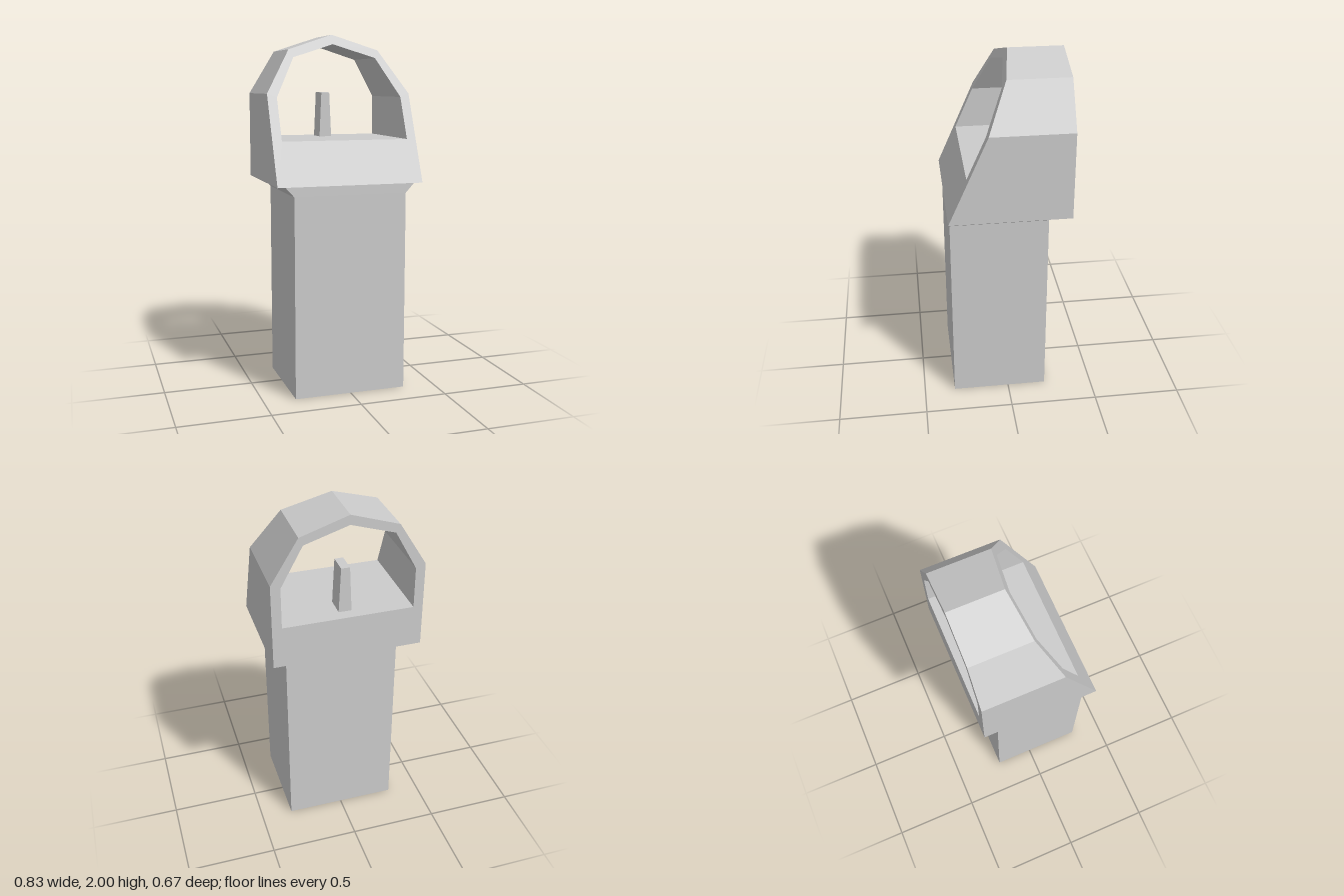
import * as THREE from 'three';

const material = new THREE.MeshStandardMaterial({ color: 0xcccccc, flatShading: true });

// Closes a right-hand outline, listed bottom to top, with its mirror image.
function mirrored(points) {
  const left = points.filter(([x]) => x > 0).reverse().map(([x, y]) => [-x, y]);
  return [...points, ...left].map(([x, y]) => new THREE.Vector2(x, y));
}

// Extrudes a front outline from zBack to zFront.
function extrude(shape, zBack, zFront) {
  const geometry = new THREE.ExtrudeGeometry(shape, { depth: zFront - zBack, bevelEnabled: false });
  return geometry.translate(0, 0, zBack);
}

function addPart(group, name, geometry) {
  geometry.computeVertexNormals();
  const mesh = new THREE.Mesh(geometry, material);
  mesh.name = name;
  group.add(mesh);
}

export function createModel() {
  const model = new THREE.Group();
  model.name = 'hoodedPedestal';

  // Square column, flaring sideways just below the hood
  const column = new THREE.Shape(mirrored([[0.32, 0], [0.32, 1.125], [0.37, 1.18]]));
  addPart(model, 'pedestal', extrude(column, -0.222, 0.322));

  // Faceted arched hood, open through from front to back
  const hoodShape = new THREE.Shape(mirrored([[0.415, 1.18], [0.415, 1.67], [0.264, 1.914], [0, 2]]));
  hoodShape.holes.push(new THREE.Path(mirrored([[0.362, 1.417], [0.362, 1.65], [0.242, 1.87], [0, 1.946]])));
  const hood = extrude(hoodShape, -0.334, 0.334);

  // Lean the front of the hood backwards as it rises
  const pos = hood.attributes.position;
  for (let i = 0; i < pos.count; i++) {
    if (pos.getZ(i) > 0) pos.setZ(i, 0.334 - 0.444 * (pos.getY(i) - 1.18));
  }
  addPart(model, 'hood', hood);

  // Small tapered post standing on the hood floor
  const post = new THREE.BoxGeometry(0.072, 0.258, 0.115);
  const p = post.attributes.position;
  for (let i = 0; i < p.count; i++) {
    if (p.getY(i) > 0) p.setX(i, p.getX(i) * 0.67);
  }
  post.translate(0, 1.546, -0.21);
  addPart(model, 'post', post);

  return model;
}
